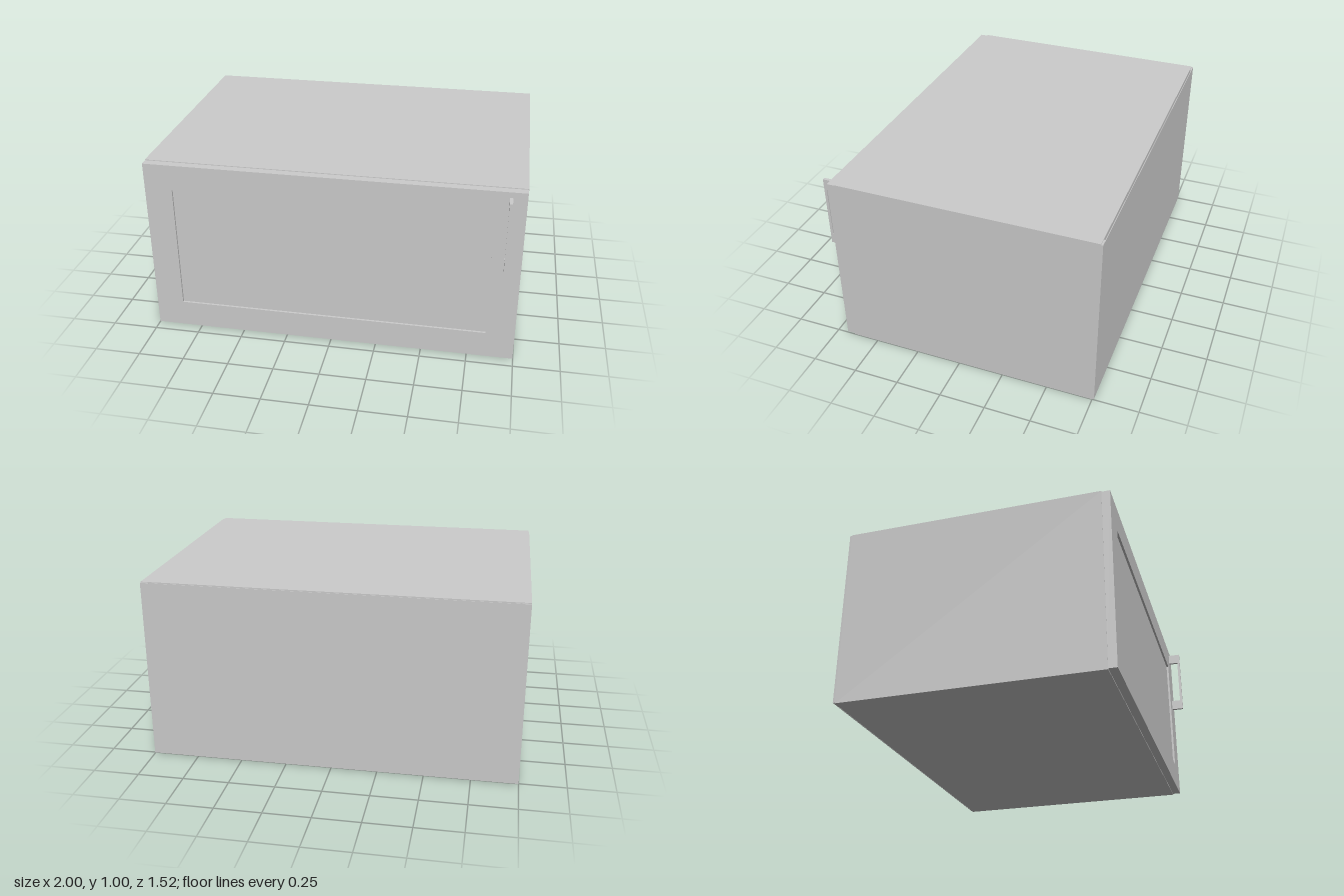
import * as THREE from 'three';

const material = new THREE.MeshStandardMaterial({ color: 0xcccccc, flatShading: true });

// Box given by its lower and upper corners
function box(name, [x0, y0, z0], [x1, y1, z1]) {
  const mesh = new THREE.Mesh(new THREE.BoxGeometry(x1 - x0, y1 - y0, z1 - z0), material);
  mesh.name = name;
  mesh.position.set((x0 + x1) / 2, (y0 + y1) / 2, (z0 + z1) / 2);
  return mesh;
}

function rectangle(PathType, x0, y0, x1, y1) {
  return new PathType([[x0, y0], [x1, y0], [x1, y1], [x0, y1]].map(p => new THREE.Vector2(...p)));
}

function extrude(name, shape, depth) {
  const geometry = new THREE.ExtrudeGeometry(shape, { depth, bevelEnabled: false });
  const mesh = new THREE.Mesh(geometry, material);
  mesh.name = name;
  return mesh;
}

export function createModel() {
  const model = new THREE.Group();
  model.name = 'wallCabinet';
  const wall = 0.045, back = -0.75, front = 0.645;

  // Carcass: two sides with top and bottom boards between them
  const carcass = new THREE.Group();
  carcass.name = 'carcass';
  for (const [side, s] of [['left', 1], ['right', -1]]) {
    const x0 = s > 0 ? 1 - wall : -1;
    carcass.add(box(side + 'Side', [x0, 0, back], [x0 + wall, 1, front]));
    // Spacer strip that holds the back panel off the boards
    carcass.add(box(side + 'BackSpacer', [x0, 0.004, -0.757], [x0 + wall, 0.996, back]));
  }
  carcass.add(box('bottomBoard', [-1 + wall, 0, back], [1 - wall, wall, front]));
  carcass.add(box('topBoard', [-1 + wall, 1 - wall, back], [1 - wall, 1, front]));
  carcass.add(box('backPanel', [-1, 0.004, -0.76], [1, 0.996, -0.757]));
  model.add(carcass);

  // Door: a frame around a slightly recessed panel
  const door = new THREE.Group();
  door.name = 'door';
  const frameShape = rectangle(THREE.Shape, -0.998, 0.005, 0.998, 0.996);
  frameShape.holes.push(rectangle(THREE.Path, -0.848, 0.153, 0.845, 0.853));
  const frame = extrude('doorFrame', frameShape, 0.69 - front);
  frame.position.z = front;
  door.add(frame);
  door.add(box('doorPanel', [-0.848, 0.153, front + 0.01], [0.845, 0.853, 0.678]));

  // Handle: flat bracket drawn in the z-y plane, extruded across x
  const handleShape = new THREE.Shape([
    [0.69, 0.565], [0.76, 0.565], [0.76, 0.965], [0.69, 0.965],
    [0.69, 0.905], [0.745, 0.905], [0.745, 0.625], [0.69, 0.625],
  ].map(p => new THREE.Vector2(...p)));
  const handle = extrude('handle', handleShape, 0.016);
  handle.rotation.y = -Math.PI / 2;
  handle.position.x = 0.926;
  door.add(handle);
  model.add(door);

  return model;
}
